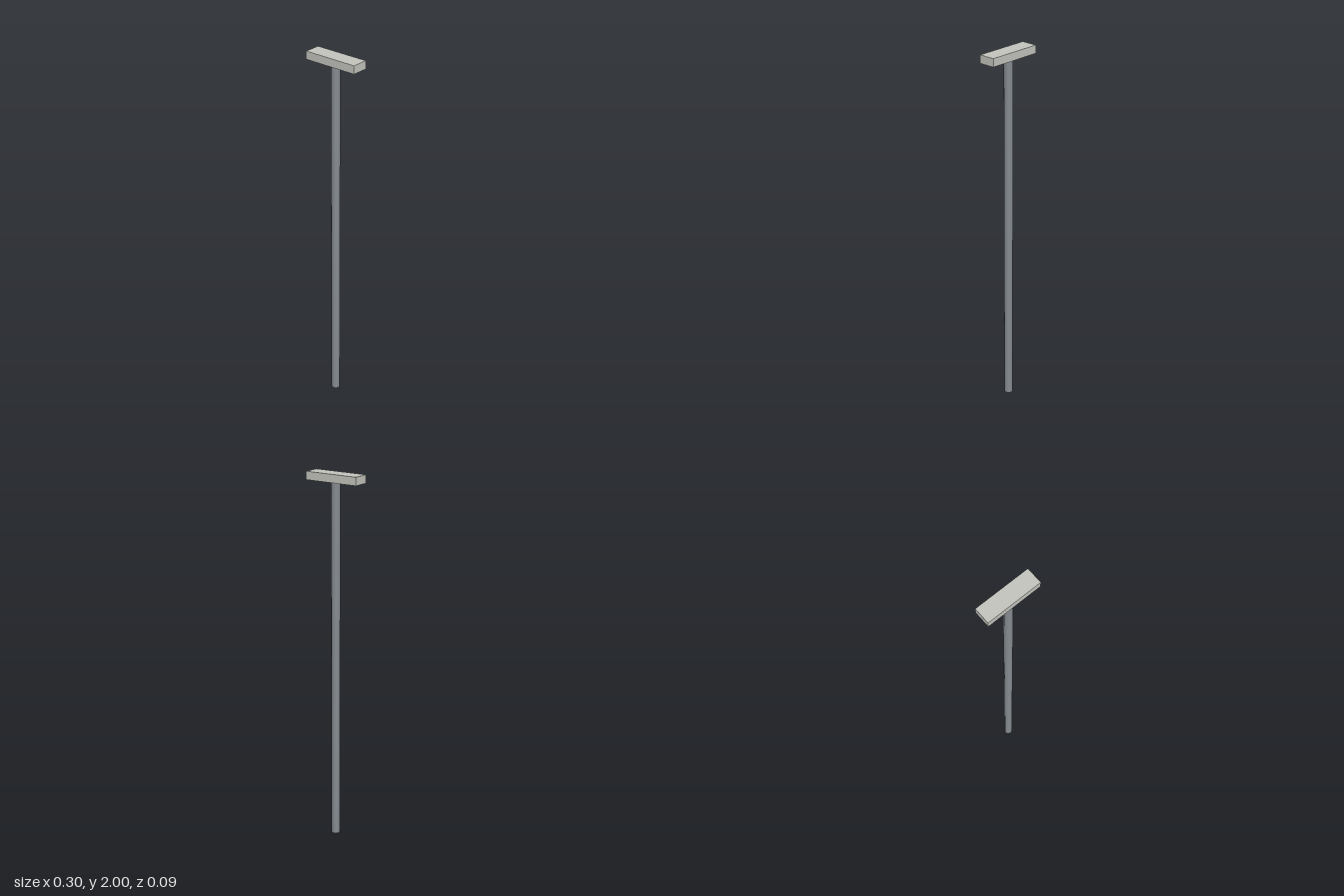
import * as THREE from 'three';

const HEIGHT = 2;
const HEAD = { width: 0.298, height: 0.042, depth: 0.087 };
const POLE_RADIUS = 0.0235;

function addPart(group, name, geometry, color, y) {
  const mesh = new THREE.Mesh(geometry, new THREE.MeshStandardMaterial({ color }));
  mesh.name = name;
  mesh.position.y = y;
  group.add(mesh);
}

export function createModel() {
  const model = new THREE.Group();
  model.name = 'poleWithCrosshead';

  // Slim round pole from the ground to the underside of the head
  const poleHeight = HEIGHT - HEAD.height;
  const pole = new THREE.CylinderGeometry(POLE_RADIUS, POLE_RADIUS, poleHeight, 12);
  addPart(model, 'pole', pole, 0x868c92, poleHeight / 2);

  // Flat rectangular head lying across the top
  const head = new THREE.BoxGeometry(HEAD.width, HEAD.height, HEAD.depth);
  addPart(model, 'head', head, 0xc4c5be, HEIGHT - HEAD.height / 2);

  return model;
}
